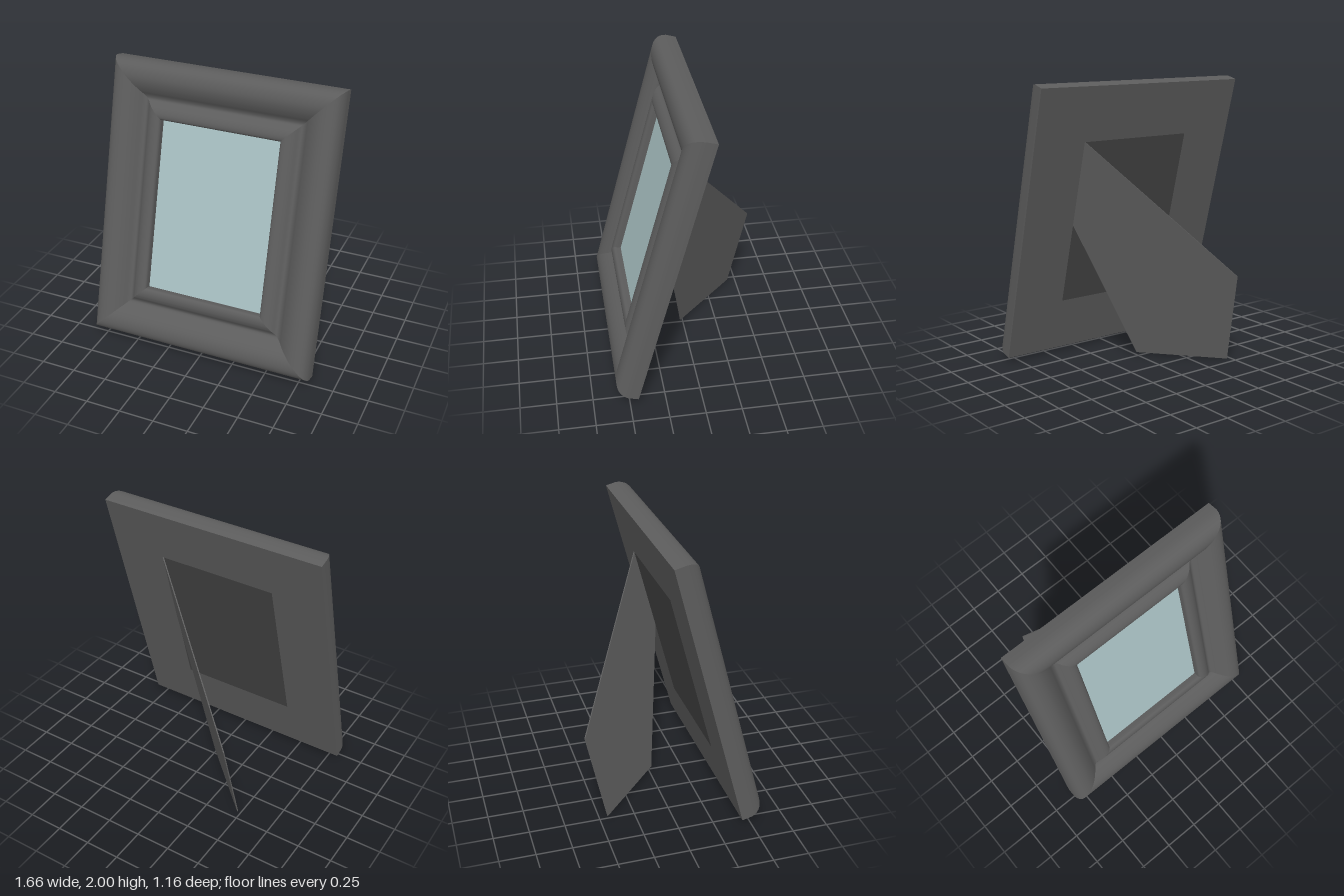
import * as THREE from 'three';
import { toCreasedNormals } from 'three/addons/utils/BufferGeometryUtils.js';

const HALF_W = 0.828, HEIGHT = 2.013, BORDER = 0.395;
const TILT = THREE.MathUtils.degToRad(15);

const material = (color, extra = {}) => new THREE.MeshStandardMaterial({ color, ...extra });

// Moulding section as (distance in from the outer edge, height above the back)
function mouldingProfile() {
  const front = new THREE.SplineCurve([
    [0, 0.075], [0.008, 0.11], [0.028, 0.145], [0.06, 0.166], [0.1, 0.173],
    [0.14, 0.168], [0.18, 0.15], [0.215, 0.124], [0.24, 0.1], [0.262, 0.09],
    [0.28, 0.097], [0.3, 0.116], [0.325, 0.131], [0.355, 0.138], [0.38, 0.134],
    [0.392, 0.122], [BORDER, 0.1],
  ].map(([d, h]) => new THREE.Vector2(d, h))).getPoints(56);
  return [new THREE.Vector2(0, 0), ...front, new THREE.Vector2(BORDER, 0), new THREE.Vector2(0, 0)];
}

// One mitred bar running between two corners of the frame
function mitredBar(profile, from, to) {
  const at = ([sx, sy], p) => [
    sx * (HALF_W - p.x), HEIGHT / 2 + sy * (HEIGHT / 2 - p.x), p.y,
  ];
  const pos = [];
  for (let i = 0; i < profile.length - 1; i++) {
    const a = at(from, profile[i]), b = at(to, profile[i]);
    const c = at(to, profile[i + 1]), d = at(from, profile[i + 1]);
    pos.push(...a, ...b, ...c, ...a, ...c, ...d);
  }
  const geo = new THREE.BufferGeometry();
  geo.setAttribute('position', new THREE.Float32BufferAttribute(pos, 3));
  return toCreasedNormals(geo, 0.7);
}

export function createModel() {
  const model = new THREE.Group();
  model.name = 'pictureFrame';

  // Everything leans back together, pivoting on the lower back edge
  const leaning = new THREE.Group();
  leaning.name = 'leaningAssembly';
  leaning.position.set(0, 0.035, 0.44);
  leaning.rotation.x = -TILT;
  model.add(leaning);

  const add = (name, geo, mat) => {
    const mesh = new THREE.Mesh(geo, mat);
    mesh.name = name;
    leaning.add(mesh);
    return mesh;
  };

  // Four mitred bars
  const frameMat = material(0x5c5c5c);
  const profile = mouldingProfile();
  const corners = [[-1, -1], [1, -1], [1, 1], [-1, 1]];
  ['bottomBar', 'leftBar', 'topBar', 'rightBar'].forEach((name, i) =>
    add(name, mitredBar(profile, corners[i], corners[(i + 1) % 4]), frameMat));

  // Glass pane and backing board fill the opening
  const openW = 2 * (HALF_W - BORDER), openH = HEIGHT - 2 * BORDER;
  const glass = add('glassPane', new THREE.PlaneGeometry(openW, openH), material(0xa8c0c2));
  glass.position.set(0, HEIGHT / 2, 0.08);
  const back = add('backingBoard', new THREE.BoxGeometry(openW, openH, 0.03), material(0x444444));
  back.position.set(0, HEIGHT / 2, 0.015);

  // Easel leg: thin board hinged along one edge of the opening and swung open
  const legShape = new THREE.Shape([
    [0, 1.62], [0, 1.0], [0.595, 0.1], [1.247, 0.198], [1.195, 0.857],
  ].map(([w, v]) => new THREE.Vector2(w, v)));
  const legGeo = new THREE.ExtrudeGeometry(legShape, { depth: 0.008, bevelEnabled: false });
  legGeo.translate(0, 0, -0.004);
  const leg = add('easelLeg', legGeo, frameMat);
  leg.position.x = HALF_W - BORDER;
  leg.rotation.y = Math.PI - 0.756;

  return model;
}
